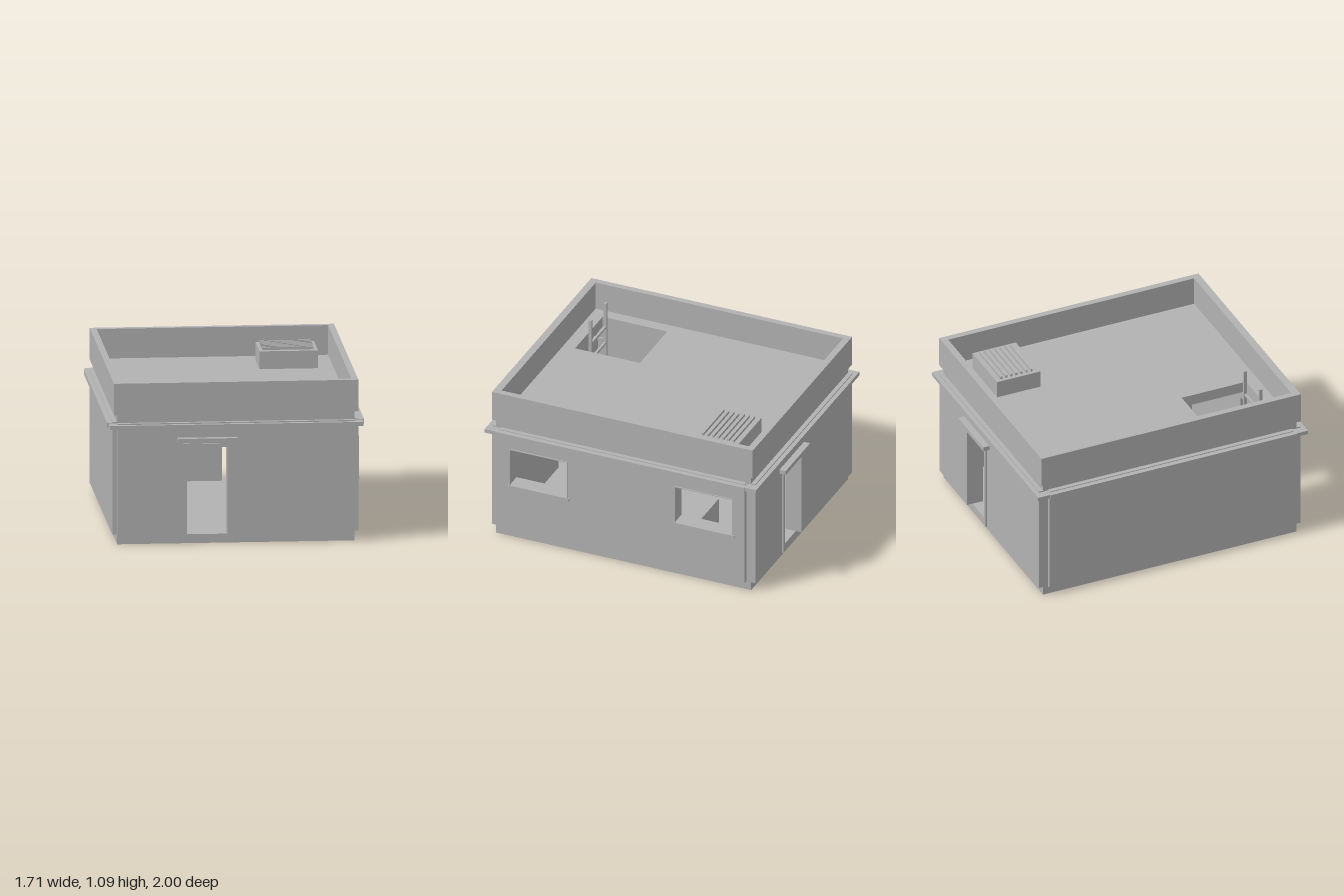
import * as THREE from 'three';

const concrete = new THREE.MeshStandardMaterial({ color: 0xb2b2b2 });
concrete.name = 'plain concrete';

// Box from its min and max corners
function box(parent, name, [x0, x1], [y0, y1], [z0, z1]) {
  const mesh = new THREE.Mesh(new THREE.BoxGeometry(x1 - x0, y1 - y0, z1 - z0), concrete);
  mesh.position.set((x0 + x1) / 2, (y0 + y1) / 2, (z0 + z1) / 2);
  mesh.name = name;
  parent.add(mesh);
  return mesh;
}

function rect(Type, [a0, a1], [b0, b1]) {
  const path = new Type();
  path.moveTo(a0, b0).lineTo(a1, b0).lineTo(a1, b1).lineTo(a0, b1).closePath();
  return path;
}

// Rectangular plate with rectangular holes, extruded along +z
function plate(a, b, depth, holes = []) {
  const shape = rect(THREE.Shape, a, b);
  for (const [ha, hb] of holes) shape.holes.push(rect(THREE.Path, ha, hb));
  return new THREE.ExtrudeGeometry(shape, { depth, bevelEnabled: false });
}

function add(parent, name, geometry) {
  const mesh = new THREE.Mesh(geometry, concrete);
  mesh.name = name;
  parent.add(mesh);
  return mesh;
}

// End wall facing +z, with doorway, door frame and canopy
function endWall(name) {
  const wall = new THREE.Group();
  wall.name = name;
  const shape = new THREE.Shape();
  [[-0.79, 0.06], [-0.33, 0.06], [-0.33, 0.655], [-0.06, 0.655], [-0.06, 0.06],
    [0.79, 0.06], [0.79, 0.82], [-0.79, 0.82]]
    .forEach(([x, y], i) => (i ? shape.lineTo(x, y) : shape.moveTo(x, y)));
  add(wall, 'wallPanel', new THREE.ExtrudeGeometry(shape, { depth: 0.105, bevelEnabled: false }))
    .position.z = 0.85;
  for (const x of [-0.355, -0.06]) box(wall, 'doorJamb', [x, x + 0.025], [0.06, 0.68], [0.9, 0.965]);
  box(wall, 'doorLintel', [-0.33, -0.06], [0.655, 0.68], [0.9, 0.965]);
  box(wall, 'doorCanopy', [-0.395, 0.005], [0.69, 0.72], [0.9, 1]);
  box(wall, 'endCornice', [-0.845, 0.845], [0.785, 0.812], [0.9, 0.985]);
  return wall;
}

// Side wall facing +x, optionally with window openings
function sideWall(name, windows) {
  const wall = new THREE.Group();
  wall.name = name;
  const holes = windows.map(([z0, z1]) => [[-z1, -z0], [0.41, 0.685]]);
  const panel = add(wall, 'wallPanel', plate([-0.89, 0.89], [0.06, 0.82], 0.11, holes));
  panel.rotation.y = Math.PI / 2;
  panel.position.x = 0.71;
  for (const [z0, z1] of windows) {
    box(wall, 'windowSill', [0.8, 0.83], [0.39, 0.41], [z0 - 0.012, z1 + 0.012]);
    // Thin raised edging round the opening
    for (const z of [z0, z1]) box(wall, 'windowEdge', [0.81, 0.827], [0.41, 0.685], [z - 0.003, z + 0.003]);
    box(wall, 'windowEdge', [0.81, 0.827], [0.682, 0.688], [z0, z1]);
  }
  box(wall, 'sideCornice', [0.78, 0.855], [0.785, 0.815], [-0.9, 0.9]);
  return wall;
}

// Horizontal plate between two heights; shape y maps to -z
function flatPlate(parent, name, x, z, [y0, y1], holes) {
  const flip = ([a, b]) => [-b, -a];
  const mesh = add(parent, name, plate(x, flip(z), y1 - y0, holes.map(([hx, hz]) => [hx, flip(hz)])));
  mesh.rotation.x = -Math.PI / 2;
  mesh.position.y = y0;
}

function ladder() {
  const g = new THREE.Group();
  g.name = 'hatchLadder';
  for (const x of [-0.61, -0.365]) {
    box(g, 'ladderRail', [x, x + 0.02], [0.06, 1.06], [0.738, 0.758]);
    for (const y of [0.15, 0.77]) box(g, 'ladderBracket', [x + 0.003, x + 0.017], [y, y + 0.015], [0.75, 0.86]);
  }
  for (let i = 0; i < 7; i++) {
    const y = 0.15 + i * 0.12;
    box(g, 'ladderRung', [-0.6, -0.355], [y, y + 0.015], [0.74, 0.756]);
  }
  return g;
}

function roofVent() {
  const g = new THREE.Group();
  g.name = 'roofVent';
  box(g, 'ventHousing', [0.275, 0.665], [0.88, 1.01], [-0.77, -0.455]);
  for (let i = 0; i < 7; i++) {
    const z = -0.735 + i * 0.037;
    box(g, 'ventSlat', [0.3, 0.64], [1.005, 1.028], [z, z + 0.014]);
  }
  return g;
}

// Furniture standing inside the room
function interior() {
  const g = new THREE.Group();
  g.name = 'interior';
  const depth = [-0.71, -0.5];
  for (const z of [-0.78, -0.1]) box(g, 'shelfEnd', depth, [0.06, 0.57], [z, z + 0.016]);
  for (const y of [0.24, 0.42, 0.56]) box(g, 'shelfBoard', depth, [y, y + 0.012], [-0.78, -0.09]);
  for (const [z0, z1] of [[-0.74, -0.63], [-0.605, -0.495], [-0.43, -0.32]]) {
    box(g, 'shelfBoxLower', [-0.68, -0.54], [0.432, 0.473], [z0, z1]);
    box(g, 'shelfBoxUpper', [-0.68, -0.54], [0.477, 0.497], [z0, z1]);
  }
  box(g, 'crate', [-0.71, -0.5], [0.06, 0.49], [0.1, 0.43]);
  box(g, 'lowCabinet', [0.36, 0.71], [0.06, 0.37], [-0.5, -0.05]);
  return g;
}

export function createModel() {
  const model = new THREE.Group();
  model.name = 'guardHouse';

  box(model, 'foundation', [-0.79, 0.79], [0, 0.06], [-0.925, 0.925]);

  // Walls
  const back = endWall('backWall');
  back.rotation.y = Math.PI;
  const left = sideWall('leftWall', [[0.393, 0.813], [-0.805, -0.385]]);
  const right = sideWall('rightWall', []);
  right.rotation.y = Math.PI;
  model.add(endWall('frontWall'), back, left, right);

  // Roof slab with hatch, and parapet
  const hatch = [[-0.69, -0.24], [0.34, 0.81]];
  flatPlate(model, 'roofSlab', [-0.79, 0.79], [-0.925, 0.925], [0.815, 0.89], [hatch]);
  flatPlate(model, 'parapet', [-0.813, 0.813], [-0.946, 0.946], [0.877, 1.09], [[[-0.77, 0.77], [-0.9, 0.895]]]);

  model.add(roofVent(), ladder(), interior());
  return model;
}
